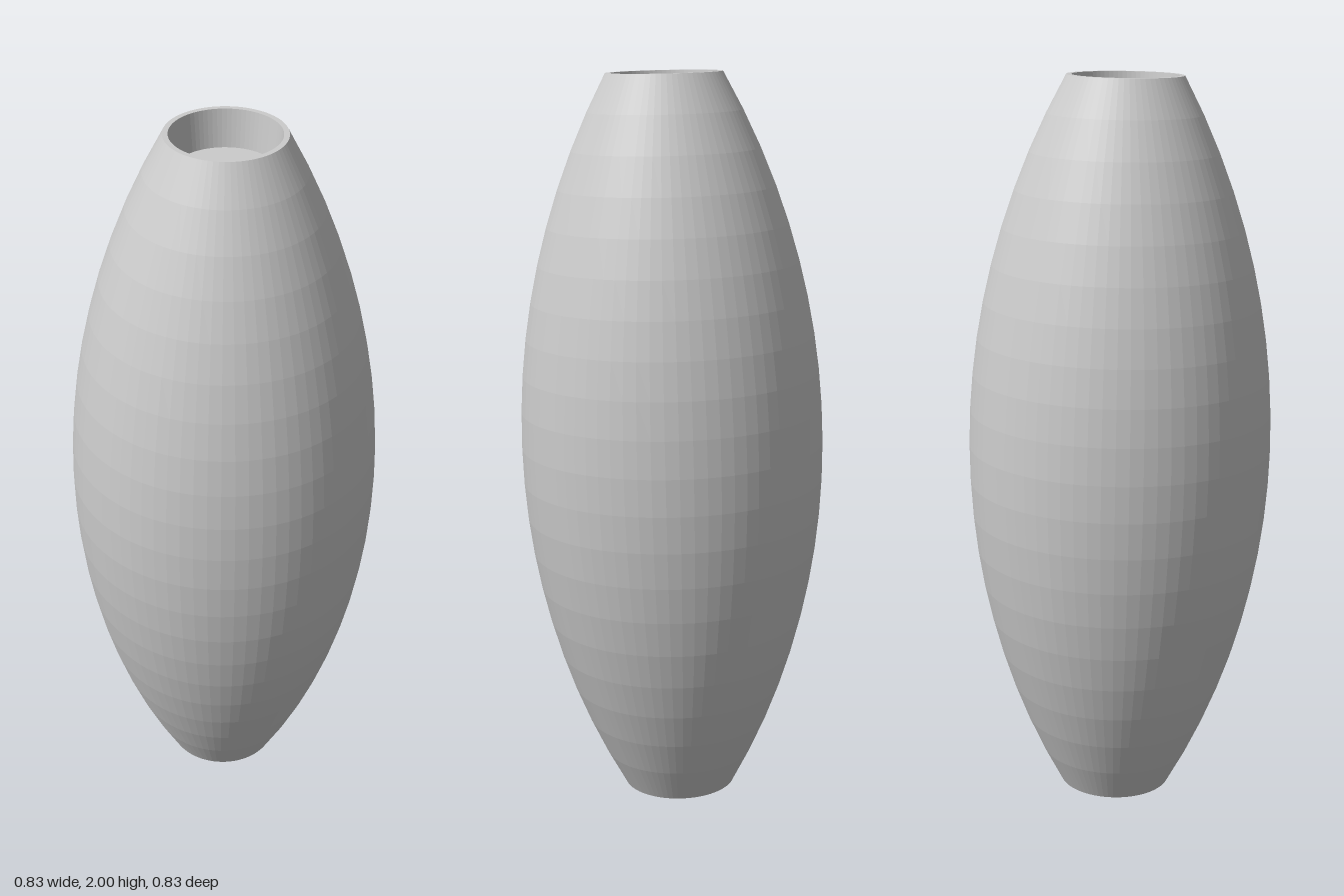
import * as THREE from 'three';

export function createModel() {
  const model = new THREE.Group();
  const half = 0.9965;      // half length along the axis
  const belly = 0.413;      // radius at the middle
  const end = 0.155;        // radius at the two ends
  const recess = 0.1;       // depth of the counterbore at each end
  const hole = 0.054;       // radius of the through hole
  const bands = 20;

  // Outer barrel: a circular arc from the bottom rim up to the top rim
  const sag = belly - end;
  const R = (half * half + sag * sag) / (2 * sag);
  const points = [];
  for (let i = 0; i <= bands; i++) {
    const y = -half + (2 * half * i) / bands;
    points.push(new THREE.Vector2(belly - R + Math.sqrt(R * R - y * y), y));
  }

  // Rim, tapered counterbore, floor and through hole, mirrored at the bottom
  const inner = [[0.141, half], [0.131, half - recess], [hole, half - recess]];
  inner.forEach(([r, y]) => points.push(new THREE.Vector2(r, y)));
  inner.slice().reverse().forEach(([r, y]) => points.push(new THREE.Vector2(r, -y)));
  points.push(points[0].clone());

  const body = new THREE.Mesh(
    new THREE.LatheGeometry(points, 72),
    new THREE.MeshStandardMaterial({ color: 0xcccccc, flatShading: true })
  );
  body.name = 'barrelBead';

  // The axis leans slightly towards +x and +z
  body.quaternion.setFromUnitVectors(
    new THREE.Vector3(0, 1, 0),
    new THREE.Vector3(0.02, 1, 0.01).normalize()
  );
  body.position.y = 1;
  model.add(body);
  return model;
}
